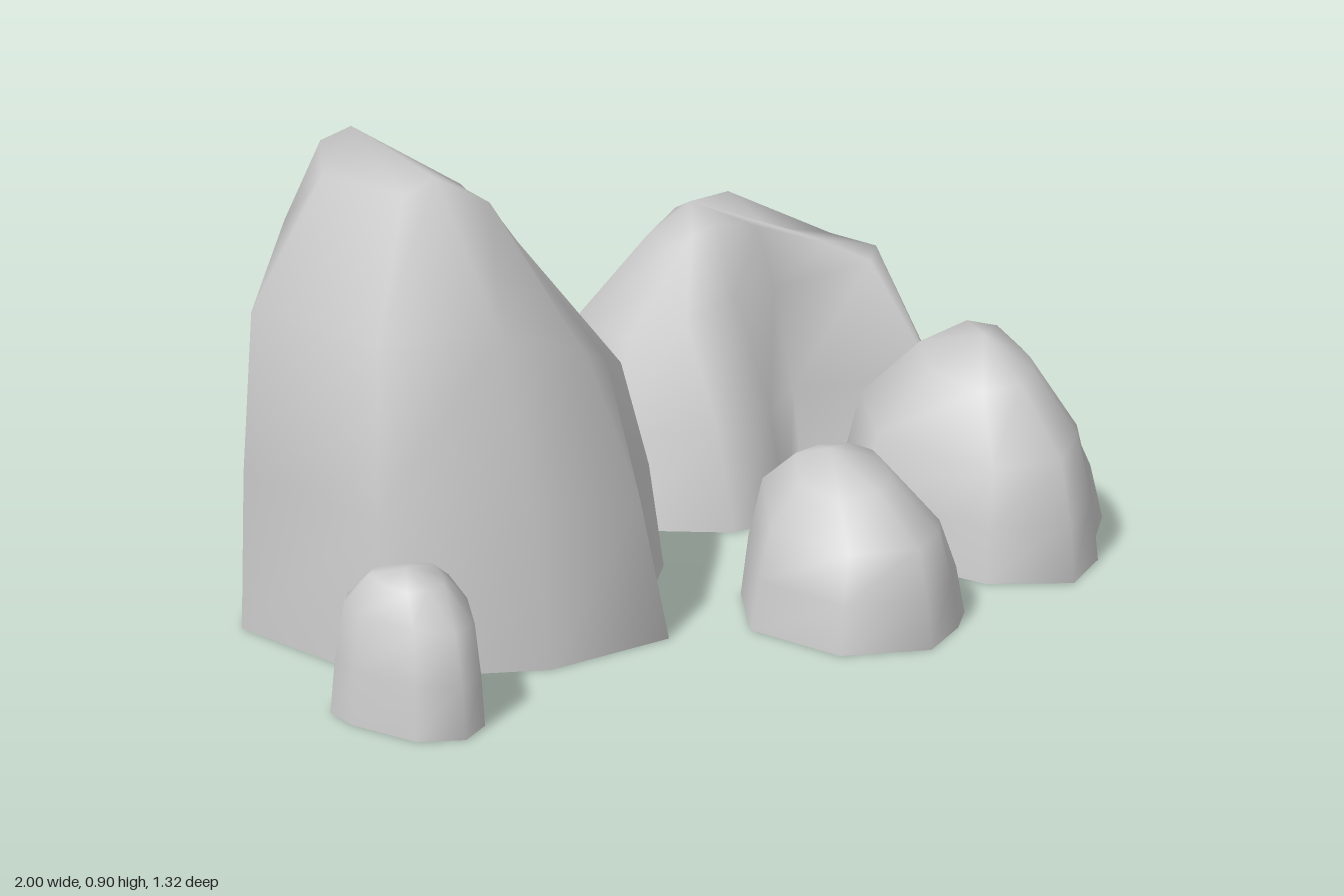
import * as THREE from 'three';

// Each rock: footprint [x, z], then a shoulder and a crest loop [x, y, z] with matching corners, and a peak
const ROCKS = {
  tallBoulder: {
    foot: [[-0.81, -0.02], [-0.77, -0.4], [-0.48, -0.63], [-0.25, -0.61], [0, -0.51], [0.08, -0.27],
      [0, -0.02], [-0.2, 0.1], [-0.32, 0.25], [-0.58, 0.19]],
    shoulder: [[-0.76, 0.59, -0.05], [-0.74, 0.6, -0.38], [-0.48, 0.7, -0.55], [-0.28, 0.78, -0.55],
      [-0.15, 0.68, -0.51], [-0.1, 0.55, -0.3], [-0.08, 0.42, -0.06], [-0.22, 0.47, 0.02],
      [-0.36, 0.52, 0.09], [-0.58, 0.6, 0.08]],
    crest: [[-0.61, 0.83, -0.12], [-0.58, 0.83, -0.35], [-0.46, 0.86, -0.47], [-0.36, 0.86, -0.47],
      [-0.25, 0.79, -0.45], [-0.24, 0.76, -0.32], [-0.29, 0.72, -0.18], [-0.36, 0.74, -0.11],
      [-0.46, 0.8, -0.05], [-0.57, 0.86, -0.08]],
    peak: [-0.47, 0.9, -0.38],
  },
  notchedBoulder: {
    foot: [[0.11, -0.24], [0.2, -0.53], [0.55, -0.66], [0.88, -0.51], [0.97, -0.3], [1, -0.03],
      [0.81, 0.15], [0.59, -0.12], [0.39, -0.01], [0.25, -0.04]],
    shoulder: [[0.21, 0.37, -0.28], [0.27, 0.36, -0.48], [0.54, 0.38, -0.59], [0.84, 0.4, -0.48],
      [0.91, 0.46, -0.29], [0.91, 0.45, -0.17], [0.82, 0.44, -0.12], [0.63, 0.4, -0.23],
      [0.42, 0.43, -0.17], [0.3, 0.4, -0.2]],
    crest: [[0.4, 0.52, -0.32], [0.42, 0.53, -0.4], [0.55, 0.56, -0.43], [0.69, 0.575, -0.4],
      [0.74, 0.5, -0.33], [0.8, 0.475, -0.22], [0.76, 0.48, -0.19], [0.62, 0.53, -0.27],
      [0.5, 0.555, -0.28], [0.43, 0.54, -0.29]],
    peak: [0.51, 0.59, -0.36],
  },
  smallFrontRock: {
    foot: [[-0.2, 0.55], [-0.19, 0.34], [-0.04, 0.2], [0.08, 0.21], [0.22, 0.25], [0.28, 0.39],
      [0.2, 0.49], [0.14, 0.59], [0.06, 0.63], [-0.07, 0.66]],
    shoulder: [[-0.165, 0.18, 0.54], [-0.16, 0.19, 0.36], [-0.04, 0.24, 0.25], [0.07, 0.25, 0.26],
      [0.17, 0.24, 0.29], [0.21, 0.17, 0.39], [0.15, 0.19, 0.47], [0.11, 0.18, 0.55],
      [0.05, 0.18, 0.59], [-0.06, 0.18, 0.62]],
    crest: [[-0.11, 0.255, 0.48], [-0.1, 0.27, 0.38], [-0.03, 0.3, 0.32], [0.05, 0.295, 0.31],
      [0.13, 0.285, 0.33], [0.13, 0.28, 0.38], [0.1, 0.28, 0.42], [0.06, 0.27, 0.47],
      [0.02, 0.27, 0.5], [-0.05, 0.27, 0.52]],
    peak: [-0.02, 0.32, 0.39],
  },
  mediumFrontRock: {
    foot: [[0.3, 0.53], [0.3, 0.22], [0.42, 0.08], [0.71, 0.06], [0.8, 0.24], [0.8, 0.48],
      [0.68, 0.54], [0.56, 0.62], [0.41, 0.66]],
    shoulder: [[0.33, 0.22, 0.52], [0.33, 0.24, 0.25], [0.44, 0.28, 0.13], [0.69, 0.31, 0.13],
      [0.77, 0.28, 0.25], [0.75, 0.22, 0.42], [0.66, 0.23, 0.5], [0.55, 0.25, 0.57], [0.43, 0.23, 0.61]],
    crest: [[0.38, 0.355, 0.46], [0.39, 0.37, 0.33], [0.5, 0.39, 0.23], [0.68, 0.395, 0.22],
      [0.7, 0.39, 0.28], [0.65, 0.37, 0.37], [0.61, 0.365, 0.42], [0.53, 0.365, 0.48], [0.44, 0.36, 0.51]],
    peak: [0.5, 0.43, 0.38],
  },
  pebble: {
    foot: [[-1, 0.1], [-0.98, 0.03], [-0.93, 0], [-0.88, 0], [-0.82, 0.04], [-0.78, 0.11],
      [-0.79, 0.19], [-0.86, 0.28], [-0.93, 0.3], [-0.99, 0.24]],
    shoulder: [[-0.98, 0.19, 0.1], [-0.96, 0.2, 0.05], [-0.92, 0.2, 0.02], [-0.88, 0.21, 0.02],
      [-0.82, 0.22, 0.05], [-0.76, 0.21, 0.11], [-0.79, 0.19, 0.18], [-0.86, 0.18, 0.26],
      [-0.92, 0.18, 0.27], [-0.97, 0.19, 0.22]],
    crest: [[-0.945, 0.245, 0.12], [-0.93, 0.25, 0.08], [-0.91, 0.25, 0.07], [-0.885, 0.25, 0.07],
      [-0.84, 0.25, 0.09], [-0.81, 0.245, 0.12], [-0.83, 0.24, 0.16], [-0.87, 0.24, 0.2],
      [-0.91, 0.24, 0.2], [-0.94, 0.24, 0.18]],
    peak: [-0.9, 0.265, 0.14],
  },
};

// Skin the loops from the ground to the peak; the underside stays open
function rockGeometry({ foot, shoulder, crest, peak }) {
  const n = foot.length;
  const ground = foot.map(([x, z]) => [x, 0, z]);
  // A loop halfway up that bulges outwards
  const belly = shoulder.map(([x, y, z], i) => [
    THREE.MathUtils.lerp(foot[i][0], x, 0.35), y / 2, THREE.MathUtils.lerp(foot[i][1], z, 0.35)]);
  const loops = [ground, belly, shoulder, crest];
  const top = (loops.length - 1) * n;
  const index = [];
  for (let i = 0; i < n; i++) {
    const j = (i + 1) % n;
    for (let base = 0; base < top; base += n) {
      const a = base + i, b = base + j;
      index.push(a, a + n, b, b, a + n, b + n);
    }
    index.push(top + i, top + n, top + j);
  }
  const geometry = new THREE.BufferGeometry();
  geometry.setAttribute('position', new THREE.Float32BufferAttribute([...loops.flat(2), ...peak], 3));
  geometry.setIndex(index);
  geometry.computeVertexNormals();
  return geometry;
}

export function createModel() {
  const group = new THREE.Group();
  group.name = 'rockCluster';
  const stone = new THREE.MeshStandardMaterial({ color: 0xcccccc, side: THREE.DoubleSide });
  stone.name = 'greyStone';
  for (const [name, rock] of Object.entries(ROCKS)) {
    const mesh = new THREE.Mesh(rockGeometry(rock), stone);
    mesh.name = name;
    group.add(mesh);
  }
  return group;
}
